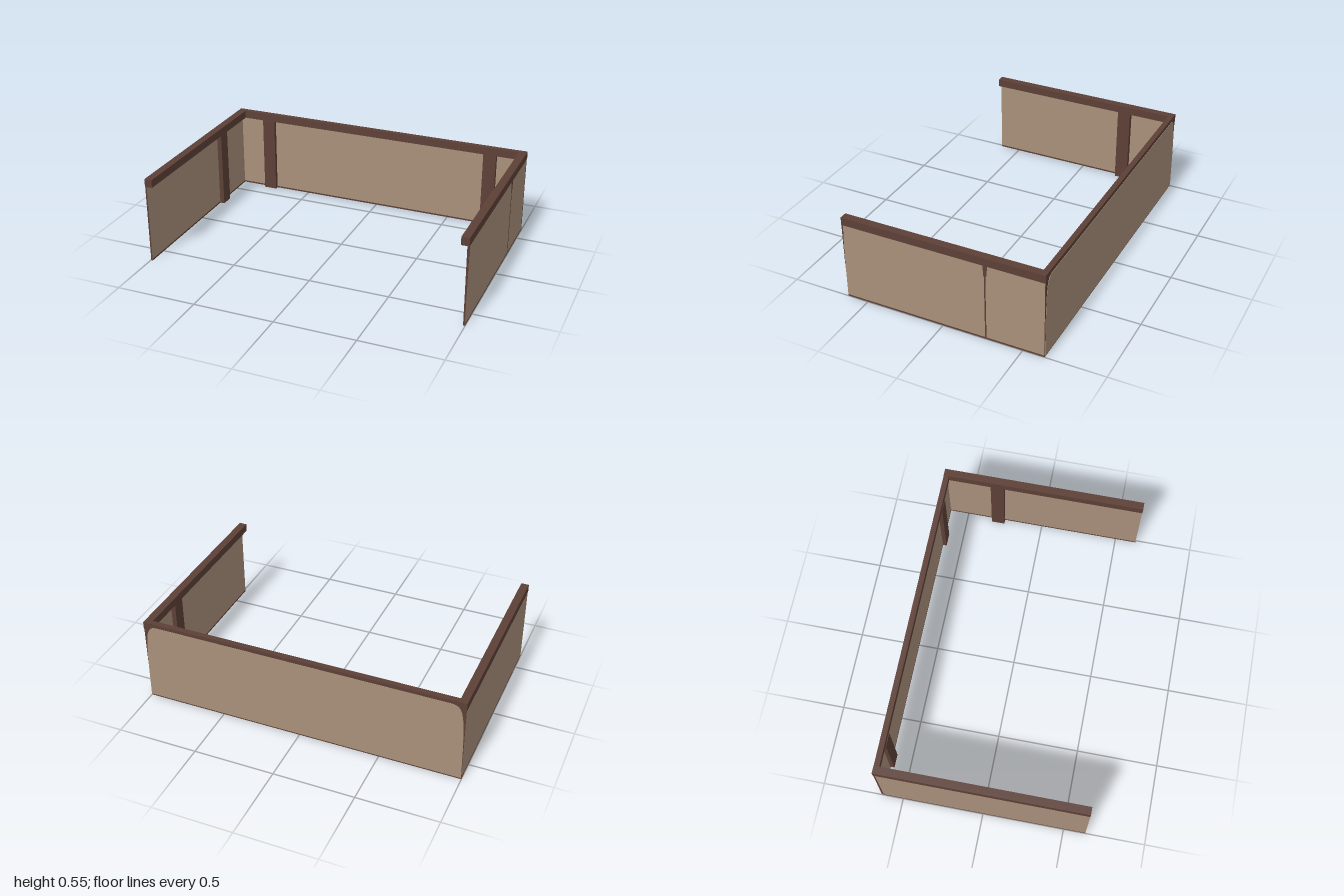
import * as THREE from 'three';

export function createModel() {
  const group = new THREE.Group();
  const dark = new THREE.MeshStandardMaterial({ color: 0x5d4037 });
  dark.name = 'dark wood';
  const tan = new THREE.MeshStandardMaterial({ color: 0xa98f7a });
  tan.name = 'tan panel';

  const add = (name, geometry, material) => {
    const mesh = new THREE.Mesh(geometry, material);
    mesh.name = name;
    group.add(mesh);
    return mesh;
  };
  // Box given by its two extreme corners
  const box = (name, [x0, y0, z0], [x1, y1, z1], material = dark) => {
    const mesh = add(name, new THREE.BoxGeometry(x1 - x0, y1 - y0, z1 - z0), material);
    mesh.position.set((x0 + x1) / 2, (y0 + y1) / 2, (z0 + z1) / 2);
    return mesh;
  };

  const top = 0.545, railBase = 0.495, sill = 0.01, depth = 0.635;
  const sideFaces = [tan, tan, dark, dark, dark, dark];
  const backFaces = [dark, dark, dark, dark, tan, dark];

  // Side walls, mirrored: thin panel, sill, inward rail and inner post
  for (const s of [-1, 1]) {
    const side = s > 0 ? 'left' : 'right';
    const span = (name, a, b, y0, y1, z0, z1, material) =>
      box(side + name, [Math.min(s * a, s * b), y0, z0], [Math.max(s * a, s * b), y1, z1], material);
    span('Panel', 0.988, 0.998, sill, railBase, -0.63, depth, sideFaces);
    span('Sill', 0.987, 0.999, 0, sill, -0.63, depth);
    span('Rail', 0.952, 1, railBase, top, -0.634, depth);
    span('Post', 0.958, 0.988, 0, railBase, -0.335, -0.25);
  }

  // Back wall: inner panel, sill, rail and two posts
  box('backPanel', [-0.998, sill, -0.632], [0.998, railBase, -0.622], backFaces);
  box('backSill', [-0.998, 0, -0.633], [0.998, sill, -0.621]);
  box('backRail', [-0.952, railBase, -0.633], [0.952, top, -0.6]);
  for (const x of [-0.777, 0.768]) {
    box('backPost', [x - 0.042, 0, -0.622], [x + 0.042, railBase + 0.002, -0.597]);
  }

  // Outer back face with rounded upper corners, tapering out to the ends
  const face = new THREE.Shape();
  face.moveTo(-0.998, sill);
  face.lineTo(0.998, sill);
  face.lineTo(0.995, 0.25);
  face.bezierCurveTo(0.985, 0.46, 0.985, 0.522, 0.91, 0.522);
  face.lineTo(-0.91, 0.522);
  face.bezierCurveTo(-0.985, 0.522, -0.985, 0.46, -0.995, 0.25);
  face.closePath();
  add('backOuterFace', new THREE.ExtrudeGeometry(face, { depth: 0.002, bevelEnabled: false }), tan)
    .position.z = -0.636;

  // Flat trim on the outer left wall: points are (z, y)
  const trim = (name, points) => {
    const shape = new THREE.Shape(points.map(([z, y]) => new THREE.Vector2(-z, y)));
    const mesh = add(name, new THREE.ExtrudeGeometry(shape, { depth: 0.002, bevelEnabled: false }), dark);
    mesh.rotation.y = Math.PI / 2;
    mesh.position.x = 0.9975;
  };
  trim('leftSeam', [
    [-0.268, sill], [-0.276, sill], [-0.276, 0.42], [-0.282, 0.43], [-0.289, railBase],
    [-0.26, railBase], [-0.265, 0.43], [-0.268, 0.42],
  ]);
  trim('leftEndTrim', [[depth, 0.2], [0.632, 0.36], [0.625, railBase], [depth, railBase]]);

  return group;
}
